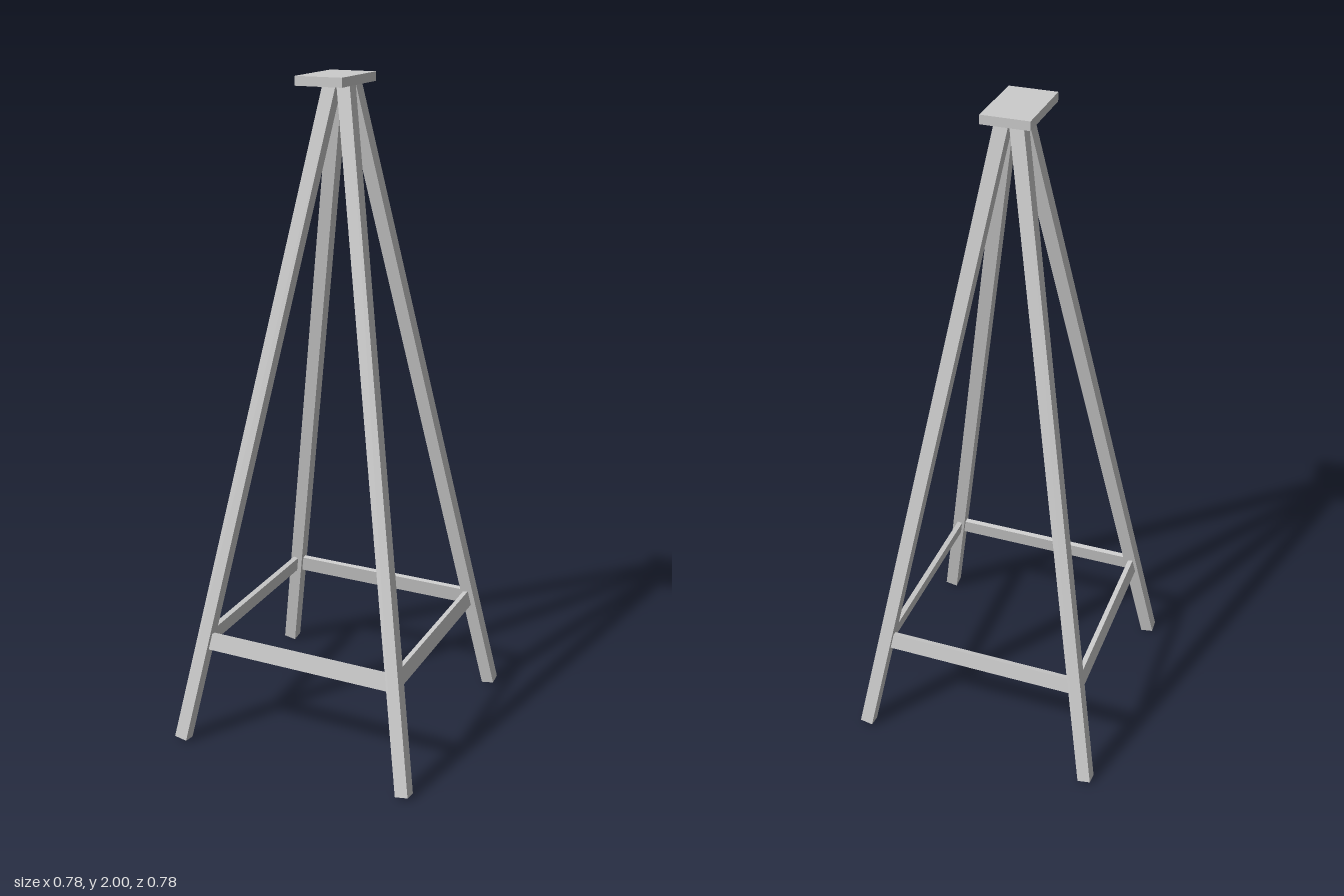
import * as THREE from 'three';

export function createModel() {
  const group = new THREE.Group();
  const material = new THREE.MeshStandardMaterial({ color: 0xcccccc, flatShading: true });
  const up = new THREE.Vector3(0, 1, 0);

  function addBox(name, w, h, d) {
    const mesh = new THREE.Mesh(new THREE.BoxGeometry(w, h, d), material);
    mesh.name = name;
    group.add(mesh);
    return mesh;
  }

  // Top plate, reaching further forward than back
  addBox('topPlate', 0.14, 0.026, 0.224).position.set(0, 1.987, 0.041);

  // Four splayed square legs, cut square to their own axis
  for (const [name, sx, sz] of [
    ['frontLeftLeg', 1, 1], ['frontRightLeg', -1, 1],
    ['backLeftLeg', 1, -1], ['backRightLeg', -1, -1],
  ]) {
    const foot = new THREE.Vector3(0.37 * sx, 0.008, 0.37 * sz);
    const top = new THREE.Vector3(0.02 * sx, 1.975, 0.02 * sz);
    const axis = top.clone().sub(foot);
    const leg = addBox(name, 0.04, axis.length(), 0.04);
    leg.position.copy(foot).add(top).multiplyScalar(0.5);
    leg.quaternion.setFromUnitVectors(up, axis.normalize());
  }

  // Four flat rails between the legs, leaning inwards with them
  const tilt = 0.175;
  ['frontRail', 'leftRail', 'backRail', 'rightRail'].forEach((name, i) => {
    const angle = i * Math.PI / 2;
    const rail = addBox(name, 0.615, 0.051, 0.016);
    rail.rotation.set(-tilt, angle, 0, 'YXZ');
    rail.position.set(Math.sin(angle) * 0.312, 0.328, Math.cos(angle) * 0.312);
    if (i % 2) rail.position.x -= 0.003;
  });

  return group;
}
